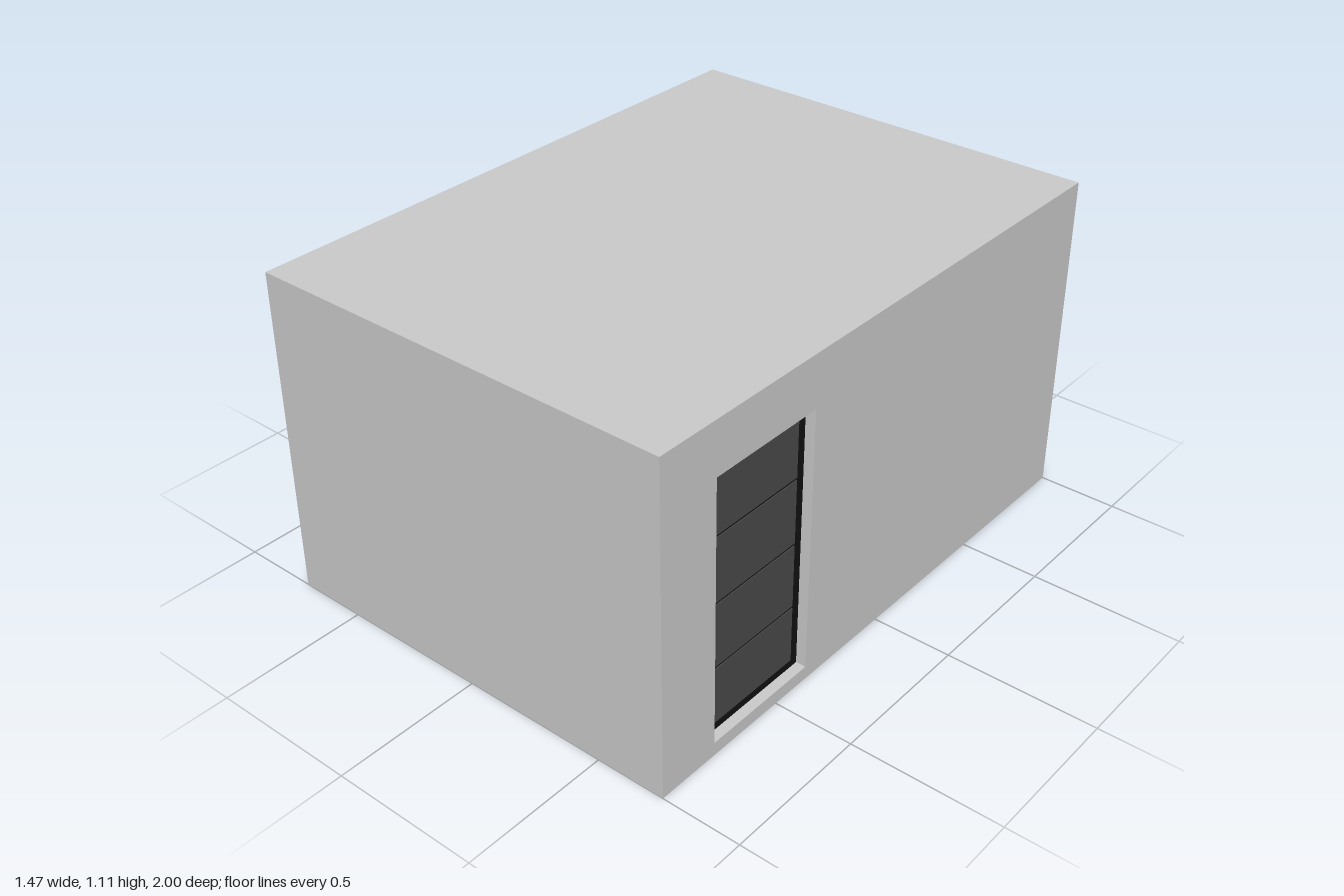
import * as THREE from 'three';

const W = 1.47, H = 1.11, D = 2, T = 0.06; // room size and wall thickness

const paint = (color) => new THREE.MeshStandardMaterial({ color });
const grey = paint(0xcccccc);
const navy = paint(0x353146);
const black = paint(0x111111);
const charcoal = paint(0x4a4a4a);

// Rectangle [u0, v0, u1, v1] as a point list
const corners = ([u0, v0, u1, v1]) => [[u0, v0], [u1, v0], [u1, v1], [u0, v1]]
  .map(([u, v]) => new THREE.Vector2(u, v));

// Flat plate with an optional opening; its outer face lies at z = front
function plate(rect, depth, front = 0, hole = null) {
  const shape = new THREE.Shape(corners(rect));
  if (hole) shape.holes.push(new THREE.Path(corners(hole).reverse()));
  const geo = new THREE.ExtrudeGeometry(shape, { depth, bevelEnabled: false });
  return geo.translate(0, 0, front - depth);
}

function add(parent, name, geo, material) {
  const mesh = new THREE.Mesh(geo, material);
  mesh.name = name;
  parent.add(mesh);
  return mesh;
}

// Slab with mitred rims, so that six of them close into a seamless hollow box
function slab(w, h, hole) {
  const geo = plate([-w / 2, -h / 2, w / 2, h / 2], T, 0, hole);
  const p = geo.attributes.position;
  for (let i = 0; i < p.count; i++) {
    if (p.getZ(i) > -T / 2) continue;
    const x = p.getX(i), y = p.getY(i);
    if (Math.abs(x) > w / 2 - 1e-4) p.setX(i, x - Math.sign(x) * T);
    if (Math.abs(y) > h / 2 - 1e-4) p.setY(i, y - Math.sign(y) * T);
  }
  geo.computeVertexNormals();
  return geo;
}

// One side of the room: local +z points outward
function side(room, name, w, h, dist, [rx, ry], material = grey, hole = null) {
  const group = new THREE.Group();
  group.name = name;
  group.rotation.set(rx, ry, 0);
  group.translateZ(dist);
  add(group, name + 'Slab', slab(w, h, hole), material);
  room.add(group);
  return group;
}

export function createModel() {
  const room = new THREE.Group();
  room.name = 'room';
  const shell = new THREE.Group();
  shell.name = 'shell';
  shell.position.y = H / 2;
  room.add(shell);
  const Q = Math.PI / 2;
  const lift = ([a, b, c, d]) => [a, b - H / 2, c, d - H / 2]; // floor-based heights

  const doorway = lift([-0.78, 0.045, -0.36, 0.935]);
  const opening = lift([-0.643, 0.376, -0.266, 0.9]);

  side(shell, 'frontWall', W, H, D / 2, [0, 0]);
  side(shell, 'accentWall', D, H, W / 2, [0, -Q], navy);
  side(shell, 'roof', W, D, H / 2, [-Q, 0]);
  side(shell, 'floor', W, D, H / 2, [Q, 0]);
  const doorWall = side(shell, 'doorWall', D, H, W / 2, [0, Q], grey, doorway);
  const backWall = side(shell, 'backWall', W, H, D / 2, [0, 2 * Q], grey, opening);

  // Door: black backing and frame, four charcoal panels split by thin grooves
  const door = new THREE.Group();
  door.name = 'door';
  doorWall.add(door);
  add(door, 'doorFrame', plate(doorway, 0.024, -0.034), black);
  const seams = [0.07, 0.27, 0.492, 0.714, 0.922];
  for (let i = 0; i < 4; i++) {
    const rect = lift([-0.747, seams[i] + 0.004, -0.392, seams[i + 1] - 0.004]);
    add(door, 'doorPanel', plate(rect, 0.006, -0.031), charcoal);
  }
  add(door, 'doorHandle', plate(lift([-0.771, 0.43, -0.752, 0.525]), 0.012, -0.024), charcoal);

  // Window: frame set just inside the wall, pane set further back
  const win = new THREE.Group();
  win.name = 'window';
  backWall.add(win);
  const f = 0.023;
  const [u0, v0, u1, v1] = opening;
  const inner = [u0 + f, v0 + f, u1 - f, v1 - f];
  add(win, 'windowFrame', plate(opening, 0.04, -0.011, inner), grey);
  add(win, 'windowPane', plate(inner, 0.012, -0.023), grey);

  return room;
}
